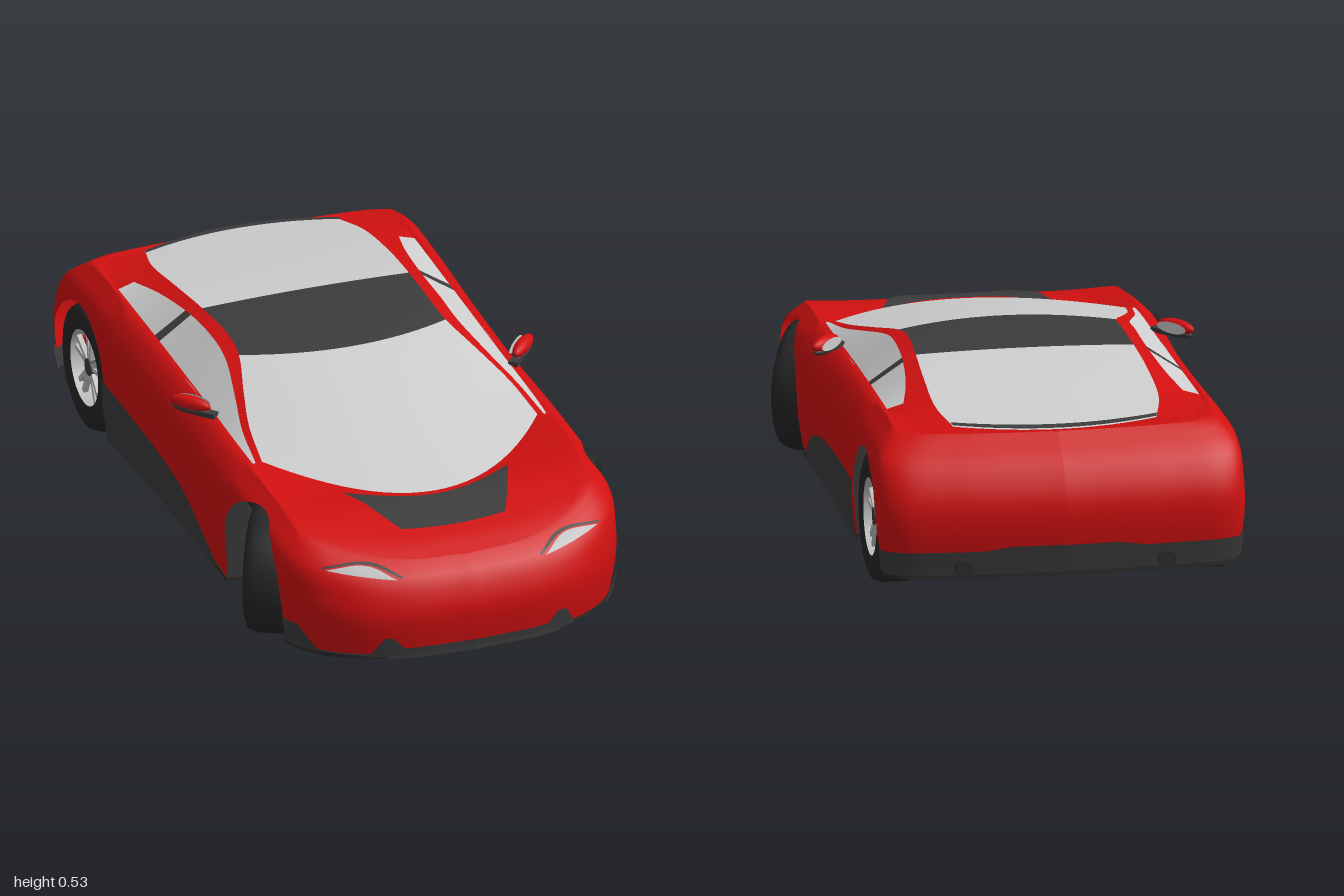
import * as THREE from 'three';

const mat = (name, color) => new THREE.MeshStandardMaterial({ name, color, side: THREE.DoubleSide });
const red = mat('red paint', 0xd01010), glass = mat('pale glass', 0xcecece), dark = mat('dark trim', 0x3c3c3c);
const rubber = mat('tyre rubber', 0x262626), metal = mat('rim metal', 0xbdbdbd), under = mat('underbody', 0x2b2b2b);

const smooth = THREE.MathUtils.smoothstep, lerp = THREE.MathUtils.lerp;

// Smooth value from a table of [key, value, ...] rows with rising keys
function spl(tab, x, c = 1) {
  const n = tab.length - 1;
  x = Math.min(Math.max(x, tab[0][0]), tab[n][0]);
  let i = 0;
  while (i < n - 1 && x > tab[i + 1][0]) i++;
  const slope = k => {
    const a = tab[Math.max(k - 1, 0)], b = tab[Math.min(k + 1, n)];
    return (b[c] - a[c]) / (b[0] - a[0]);
  };
  const h = tab[i + 1][0] - tab[i][0], t = (x - tab[i][0]) / h, t2 = t * t, t3 = t2 * t;
  return (2 * t3 - 3 * t2 + 1) * tab[i][c] + (t3 - 2 * t2 + t) * h * slope(i)
    + (3 * t2 - 2 * t3) * tab[i + 1][c] + (t3 - t2) * h * slope(i + 1);
}

// Surface through f(u, v), both running 0..1
function grid(nu, nv, f) {
  const pos = [], idx = [];
  for (let i = 0; i <= nu; i++) for (let j = 0; j <= nv; j++) pos.push(...f(i / nu, j / nv));
  for (let i = 0; i < nu; i++) for (let j = 0; j < nv; j++) {
    const a = i * (nv + 1) + j, b = a + nv + 1;
    idx.push(a, b, a + 1, b, b + 1, a + 1);
  }
  const g = new THREE.BufferGeometry();
  g.setAttribute('position', new THREE.Float32BufferAttribute(pos, 3));
  g.setIndex(idx);
  g.computeVertexNormals();
  return g;
}

// Half plan outline, nose to tail, as [x, z]
const N = 240;
const outline = new THREE.CatmullRomCurve3([[0, 1], [0.2, 0.985], [0.33, 0.945], [0.43, 0.87], [0.487, 0.77],
  [0.505, 0.6], [0.505, 0.3], [0.497, 0], [0.5, -0.3], [0.508, -0.6], [0.51, -0.85], [0.497, -0.93],
  [0.45, -0.965], [0.3, -0.985], [0, -1]].map(([x, z]) => new THREE.Vector3(x, 0, z)), false, 'centripetal').getSpacedPoints(N);
const at = u => {
  const f = Math.min(Math.abs(u), 1) * N, i = Math.min(Math.floor(f), N - 1);
  return outline[i].clone().lerp(outline[i + 1], f - i);
};
const uAtZ = z => outline.findIndex(p => p.z <= z) / N;
const uAtX = (x, rear) => {
  const i = outline.findIndex(p => p.x >= x);
  return rear ? 1 - [...outline].reverse().findIndex(p => p.x >= x) / N : i / N;
};

// Shoulder height, centre deck height and body inset by relative height
const topTab = [[-1, 0.44], [-0.85, 0.455], [-0.65, 0.457], [-0.4, 0.447], [0, 0.428], [0.4, 0.41], [0.65, 0.388], [0.8, 0.36], [0.9, 0.335], [1, 0.305]];
const deckTab = [[-0.87, 0.442], [-0.75, 0.42], [-0.6, 0.38], [0.3, 0.36], [0.55, 0.36], [0.67, 0.37], [0.75, 0.357], [0.85, 0.333], [0.92, 0.305]];
const insetX = [[0, 0.015], [0.3, 0], [0.6, 0], [0.85, 0.014], [1, 0.07]];
const insetFront = [[0, 0.015], [0.45, 0], [0.7, 0.015], [0.9, 0.045], [1, 0.08]];
const insetRear = [[0, 0.025], [0.5, 0], [0.8, 0.045], [1, 0.13]];
const SILL = 0.062, FRONT_Z = 0.58, REAR_Z = -0.715, WHEEL_X = 0.433, WHEEL_R = 0.18;

function bottom(z) {
  for (const [c, r] of [[FRONT_Z, 0.19], [REAR_Z, 0.193]])
    if (Math.abs(z - c) < r) return 0.18 + Math.sqrt(r * r - (z - c) ** 2);
  return z < -0.9 ? 0.14 : SILL;
}
// Point on the outer skin at plan position u (negative on the right) and height y
function skin(u, y, s = 1) {
  const p = at(u), g = (y - SILL) / (spl(topTab, p.z) - SILL);
  const dz = spl(p.z > 0 ? insetFront : insetRear, g) * smooth(Math.abs(p.z), 0.7, 1);
  return [Math.sign(u) * p.x * (1 - 2 * spl(insetX, g)) * s, y, (p.z - Math.sign(p.z) * dz) * s];
}

// Cabin rows: row, centre z, bow, glass half width, centre y, glass edge y, rail x, rail y
const rows = [
  [0, 0.67, 0.27, 0.4, 0.378, 0.409, 0.418, 0.408], [1, 0.45, 0.2, 0.38, 0.428, 0.44, 0.4, 0.432],
  [2, 0.24, 0.13, 0.343, 0.474, 0.472, 0.368, 0.463], [3, 0.03, 0.07, 0.3, 0.512, 0.506, 0.337, 0.496],
  [4, -0.15, 0.01, 0.293, 0.526, 0.52, 0.332, 0.51], [5, -0.32, 0, 0.3, 0.521, 0.515, 0.337, 0.505],
  [6, -0.5, 0, 0.308, 0.502, 0.498, 0.358, 0.486], [7, -0.7, -0.02, 0.308, 0.472, 0.472, 0.395, 0.458],
  [8, -0.87, -0.06, 0.28, 0.447, 0.45, 0.39, 0.446]];
const row = (q, c) => spl(rows, q, c);
function roofPoint(q, k) {
  return [k * row(q, 3), lerp(row(q, 4), row(q, 5), k * k), row(q, 1) - row(q, 2) * k * k];
}
// Cabin flank: 0 glass edge, 1 rail, 2 belt line
function flankPoint(q, k, s) {
  const z = row(q, 1) - row(q, 2), e = [[row(q, 3), row(q, 5)], [row(q, 6), row(q, 7)], [0.432, spl(topTab, z) - 0.004]];
  const i = Math.min(Math.floor(k), 1), f = k - i;
  return [s * lerp(e[i][0], e[i + 1][0], f), lerp(e[i][1], e[i + 1][1], f), z];
}

function makeWheel(name) {
  const w = new THREE.Group();
  w.name = name;
  const put = (n, geo, m) => { const o = new THREE.Mesh(geo, m); o.name = n; w.add(o); return o; };
  const turn = g => g.rotateZ(-Math.PI / 2);
  const tyre = [[0.105, -0.06], [0.15, -0.066], [0.171, -0.058], [WHEEL_R, -0.035], [WHEEL_R, 0.035], [0.171, 0.058], [0.15, 0.066], [0.107, 0.06]];
  put('tyre', turn(new THREE.LatheGeometry(tyre.map(p => new THREE.Vector2(...p)), 48)), rubber);
  put('rimBarrel', turn(new THREE.CylinderGeometry(0.107, 0.105, 0.12, 40, 1, true)), metal);
  put('rimBack', turn(new THREE.CylinderGeometry(0.104, 0.104, 0.01, 40)), dark).position.x = -0.01;
  put('brakeDisc', turn(new THREE.CylinderGeometry(0.085, 0.085, 0.01, 40)), metal).position.x = 0.004;
  put('caliper', new THREE.BoxGeometry(0.03, 0.06, 0.03), red).position.set(0.015, 0.02, 0.08);
  put('hub', turn(new THREE.CylinderGeometry(0.024, 0.03, 0.045, 20)), dark).position.x = 0.028;
  put('axle', turn(new THREE.CylinderGeometry(0.025, 0.025, 0.16, 12)), under).position.x = -0.09;
  // Five forked spokes
  for (let i = 0; i < 5; i++) for (const s of [-1, 1]) {
    const geo = new THREE.BoxGeometry(0.014, 0.088, 0.013).translate(0, 0.062, 0);
    put('spoke', geo.rotateX(i * Math.PI * 0.4 + s * 0.17), metal).position.x = 0.04;
  }
  return w;
}

export function createModel() {
  const car = new THREE.Group();
  car.name = 'sportsCar';
  const add = (name, geo, m) => { const o = new THREE.Mesh(geo, m); o.name = name; car.add(o); return o; };

  // Body skin, wrapping round the sides and then in over the bonnet and tail
  const SIDE = 16, DECK = 10;
  add('body', grid(480, SIDE + DECK, (a, b) => {
    const u = a * 2 - 1, p = at(u), j = Math.round(b * (SIDE + DECK)), top = spl(topTab, p.z);
    if (j <= SIDE) return skin(u, lerp(bottom(p.z), top, j / SIDE));
    const [x, , z] = skin(u, top), r = 1 - (j - SIDE) / DECK;
    return [x * r, lerp(Math.min(spl(deckTab, z), top + 0.03), top, r ** 3), z];
  }), red);

  // Windscreen, roof panel and rear window
  for (const [name, q0, q1, m] of [['windscreen', 0, 3, glass], ['roofPanel', 3, 5, dark], ['rearWindow', 5, 8, glass]])
    add(name, grid(24, 24, (a, b) => roofPoint(lerp(q0, q1, a), b * 2 - 1)), m);
  add('rearWindowTrim', grid(4, 20, (a, b) => {
    const p = roofPoint(lerp(7.85, 8, a), b * 2 - 1);
    return [p[0], p[1] + 0.004, p[2]];
  }), dark);
  add('bonnetPanel', grid(12, 16, (a, b) => {
    const x = (b * 2 - 1) * lerp(0.15, 0.24, a), z = lerp(0.82 - 0.5 * x * x, 0.685 - 1.65 * x * x, a);
    return [x, spl(deckTab, z) + 0.007 + 0.1 * x * x, z];
  }), dark);

  for (const s of [1, -1]) {
    const side = s > 0 ? 'left' : 'right';
    // Roof rails, side windows and rear quarters
    const flank = (name, q0, q1, k0, k1, m) =>
      add(side + name, grid(40, 4, (a, b) => flankPoint(lerp(q0, q1, a), lerp(k0, k1, b), s)), m);
    flank('RoofRail', 0, 8, 0, 1, red);
    flank('DoorWindow', 0, 4.95, 1, 2, glass);
    flank('DoorPillar', 4.95, 5.15, 1, 2, dark);
    flank('QuarterWindow', 5.15, 6.65, 1, 2, glass);
    flank('RearQuarter', 6.65, 8, 1, 2, red);

    // Thin panels that follow the skin
    const patch = (name, u0, u1, lo, hi, m, k = 1.01) => add(side + name, grid(24, 5, (a, b) =>
      skin(s * Math.max(lerp(u0, u1, a), 1e-6), lerp(lo(a), hi(a), b), k)), m);
    const sillTop = [[0, 0.07], [0.2, 0.165], [0.45, 0.205], [1, 0.235]];
    patch('SillPanel', uAtZ(0.31), uAtZ(-0.515), () => 0.05, a => spl(sillTop, a), dark, 1.012);
    patch('Headlight', uAtX(0.21), uAtX(0.4), a => 0.277 + 0.025 * a, a => 0.277 + 0.025 * a + 0.02 * Math.sin(Math.PI * a), metal);
    patch('HeadlightLid', uAtX(0.2), uAtX(0.41), a => 0.279 + 0.025 * a + 0.02 * Math.sin(Math.PI * a),
      a => 0.284 + 0.025 * a + 0.02 * Math.sin(Math.PI * a), dark);
    patch('Splitter', 0, uAtX(0.25), () => 0.05, () => 0.082, dark);
    patch('NoseIntake', uAtX(0.19), uAtX(0.29), () => 0.06, a => 0.07 + 0.05 * Math.min(1, 2.6 * Math.min(a, 1 - a)), dark, 1.014);
    patch('CornerIntake', uAtX(0.42), uAtZ(0.785), () => 0.06, a => 0.065 + 0.07 * Math.min(1, 2 * a), dark, 1.012);
    patch('Diffuser', uAtZ(-0.912), 1, () => 0.08, a => 0.145 + 0.012 * smooth(a, 0.55, 0.75), dark);
    patch('DoorSeam', uAtZ(0.335), uAtZ(0.33), () => 0.07, () => 0.38, dark, 1.004);
    patch('DoorRearSeam', uAtZ(-0.385), uAtZ(-0.39), () => 0.24, () => 0.42, dark, 1.004);

    // Exhaust tip
    const pipe = add(side + 'Exhaust', new THREE.CylinderGeometry(0.025, 0.025, 0.08, 16).rotateX(Math.PI / 2), under);
    pipe.position.set(s * 0.28, 0.1, -0.955);

    // Door mirror
    const mirror = new THREE.Group();
    mirror.name = side + 'Mirror';
    const shell = new THREE.Mesh(new THREE.SphereGeometry(1, 20, 14).scale(0.062, 0.021, 0.02), red);
    shell.name = 'mirrorShell';
    const base = new THREE.Mesh(new THREE.SphereGeometry(1, 20, 14).scale(0.055, 0.014, 0.018), dark);
    base.name = 'mirrorBase';
    base.position.y = -0.016;
    const face = new THREE.Mesh(new THREE.CircleGeometry(1, 20).scale(0.05, 0.016, 1), glass);
    face.name = 'mirrorGlass';
    face.position.z = -0.021;
    const arm = new THREE.Mesh(new THREE.BoxGeometry(0.06, 0.014, 0.025), dark);
    arm.name = 'mirrorArm';
    arm.position.set(-s * 0.05, -0.02, 0);
    mirror.add(shell, base, face, arm);
    mirror.position.set(s * 0.483, 0.446, 0.07);
    mirror.rotation.y = s * 0.85;
    car.add(mirror);

    // Wheels, the front pair steered to the right
    for (const [name, z, steer] of [['FrontWheel', FRONT_Z, -0.5], ['RearWheel', REAR_Z, 0]]) {
      const w = makeWheel(side + name);
      w.position.set(s * WHEEL_X, WHEEL_R, z);
      w.rotation.y = (s > 0 ? 0 : Math.PI) + steer;
      car.add(w);
    }
  }

  // Flat floor with cut-outs for the wheels, and the inner tub
  const half = outline.map(p => new THREE.Vector2(bottom(p.z) > 0.15 ? Math.min(p.x, 0.28) : p.x * 0.97, p.z * 0.97));
  const shape = new THREE.Shape([...half, ...half.slice(1, -1).reverse().map(p => new THREE.Vector2(-p.x, p.y))]);
  const floor = add('floor', new THREE.ExtrudeGeometry(shape, { depth: 0.012, bevelEnabled: false }).rotateX(Math.PI / 2), under);
  floor.position.y = 0.062;
  floor.rotation.x = 0.012;
  add('innerTub', new THREE.BoxGeometry(0.57, 0.27, 1.66), under).position.set(0, 0.2, -0.03);
  return car;
}
